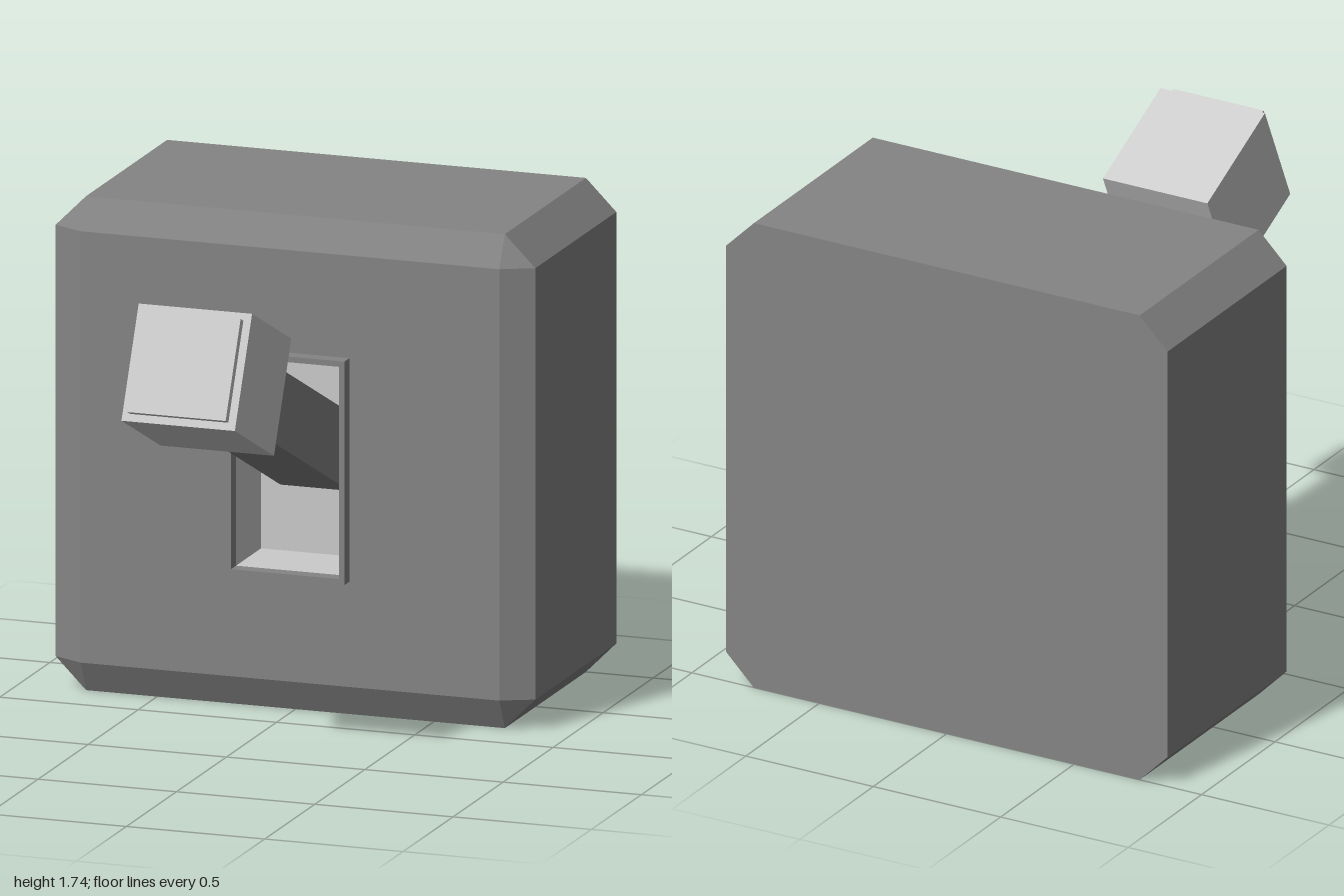
import * as THREE from 'three';

const dark = new THREE.MeshStandardMaterial({ color: 0x858585 });
const light = new THREE.MeshStandardMaterial({ color: 0xcccccc });

// Eight-point rectangle section with corners cut by c, counter-clockwise seen from +z
function ring(w, y0, y1, z, c = 0) {
  return [
    [w, y0 + c], [w, y1 - c], [w - c, y1], [c - w, y1],
    [-w, y1 - c], [-w, y0 + c], [c - w, y0], [w - c, y0],
  ].map(([x, y]) => new THREE.Vector3(x, y, z));
}

// Flat-faced skin through the rings, with optional caps on the first and last ring
function loft(rings, capStart, capEnd) {
  const points = [];
  const tri = (a, b, c) => {
    if (new THREE.Triangle(a, b, c).getArea() > 1e-7) points.push(a, b, c);
  };
  for (let r = 0; r < rings.length - 1; r++) {
    const a = rings[r], b = rings[r + 1];
    for (let i = 0; i < 8; i++) {
      const j = (i + 1) % 8;
      tri(a[i], a[j], b[j]);
      tri(a[i], b[j], b[i]);
    }
  }
  const first = rings[0], last = rings[rings.length - 1];
  for (let i = 1; i < 7; i++) {
    if (capStart) tri(first[0], first[i + 1], first[i]);
    if (capEnd) tri(last[0], last[i], last[i + 1]);
  }
  const geometry = new THREE.BufferGeometry().setFromPoints(points);
  geometry.computeVertexNormals();
  return geometry;
}

function add(parent, name, geometry, material) {
  const mesh = new THREE.Mesh(geometry, material);
  mesh.name = name;
  parent.add(mesh);
  return mesh;
}

export function createModel() {
  const model = new THREE.Group();
  model.name = 'leverSwitch';
  const hole = (z) => ring(0.195, 0.5, 1.245, z);
  const outer = (z) => ring(0.215, 0.48, 1.265, z);

  // Chamfered housing, open at the slot
  add(model, 'housing', loft([
    ring(0.867, 0, 1.735, -1, 0.11),
    ring(0.867, 0, 1.735, -0.19, 0.11),
    ring(0.757, 0.11, 1.625, -0.135),
    hole(-0.135),
  ], true, false), dark);

  // Raised frame around the slot
  add(model, 'slotFrame', loft([outer(-0.135), outer(-0.085), hole(-0.085), hole(-0.135)]), dark);

  // Slot walls and back
  add(model, 'slotRecess', loft([hole(-0.135), hole(-0.385)], false, true), light);

  // Lever tilted up from the back of the slot; its local z runs along the arm
  const lever = new THREE.Group();
  lever.name = 'lever';
  lever.position.set(0, 0.868, -0.385);
  lever.rotation.x = -THREE.MathUtils.degToRad(25);
  model.add(lever);

  const bar = (name, w, h, z0, z1, material) =>
    add(lever, name, new THREE.BoxGeometry(w, h, z1 - z0), material).position.z = (z0 + z1) / 2;
  bar('leverArm', 0.25, 0.25, -0.08, 1.0, dark);
  bar('knob', 0.41, 0.408, 0.982, 1.414, light);
  bar('knobFacePlate', 0.355, 0.355, 1.4, 1.444, light);

  return model;
}
